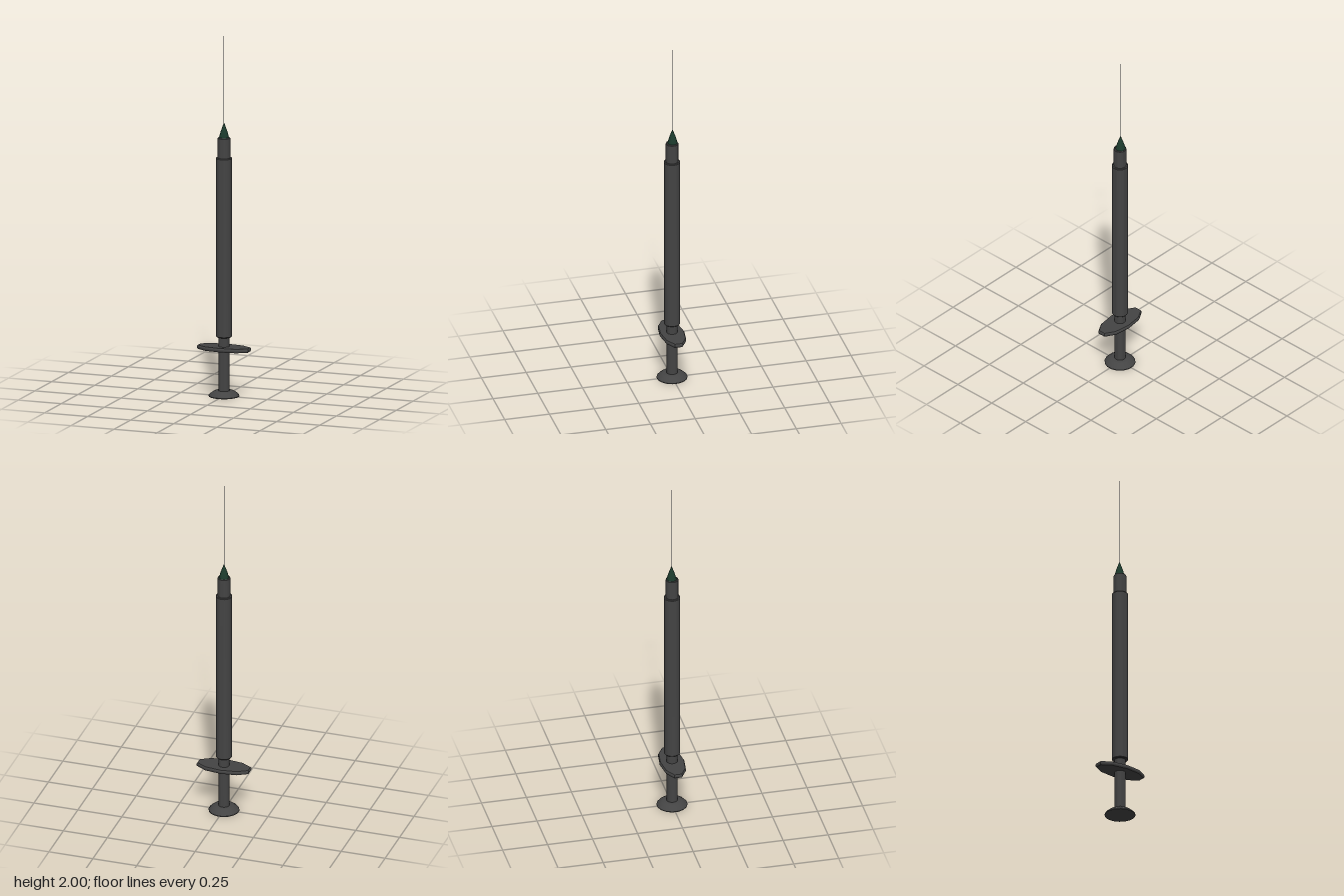
import * as THREE from 'three';
import { toCreasedNormals } from 'three/addons/utils/BufferGeometryUtils.js';

const dark = new THREE.MeshStandardMaterial({ color: 0x444444 });
const green = new THREE.MeshStandardMaterial({ color: 0x1c3a2c });
const steel = new THREE.MeshStandardMaterial({ color: 0x8c929c });

export function createModel() {
  const group = new THREE.Group();

  function add(name, geometry, material, x = 0, z = 0) {
    const mesh = new THREE.Mesh(toCreasedNormals(geometry, 0.6), material);
    mesh.name = name;
    mesh.position.set(x, 0, z);
    group.add(mesh);
  }

  // Turned part from [radius, height] pairs, listed bottom to top
  function turned(points, sides) {
    return new THREE.LatheGeometry(points.map(([r, y]) => new THREE.Vector2(r, y)), sides);
  }

  // Thumb rest: a shallow dome with a flat underside
  add('thumbRest', turned([
    [0, 0], [0.084, 0], [0.084, 0.004], [0.073, 0.016], [0.056, 0.028], [0.045, 0.031], [0, 0.031],
  ], 16).rotateY(Math.PI / 16), dark);

  // Plunger rod running into the barrel
  add('plungerRod', turned([[0, 0.02], [0.03, 0.02], [0.03, 0.34], [0, 0.34]], 24), dark);

  // Finger flange: a flat ten-sided plate with bevelled rim
  const outline = [
    [0.144, -0.02], [0.144, 0.02], [0.09, 0.052], [0, 0.064], [-0.09, 0.052],
    [-0.144, 0.02], [-0.144, -0.02], [-0.09, -0.052], [0, -0.064], [0.09, -0.052],
  ];
  const shape = new THREE.Shape(outline.map(([x, y]) => new THREE.Vector2(x, y)));
  const flange = new THREE.ExtrudeGeometry(shape, {
    depth: 0.01, bevelEnabled: true, bevelSize: 0.004, bevelThickness: 0.006, bevelSegments: 1,
  });
  flange.rotateX(-Math.PI / 2).translate(0, 0.26, 0);
  add('fingerFlange', flange, dark);

  // Barrel with softened ends
  add('barrel', turned([
    [0, 0.328], [0.041, 0.328], [0.044, 0.332], [0.044, 1.316], [0.041, 1.32], [0, 1.32],
  ], 32), dark);

  // Narrow neck above the barrel
  add('neck', turned([
    [0, 1.31], [0.034, 1.31], [0.034, 1.428], [0.031, 1.432], [0, 1.432],
  ], 32), dark);

  // Tapered needle hub
  add('needleHub', turned([
    [0, 1.425], [0.027, 1.425], [0.027, 1.432], [0.018, 1.465], [0.002, 1.51], [0, 1.51],
  ], 24), green, -0.001, -0.003);

  // Hair-thin needle
  add('needle', turned([[0, 1.49], [0.0015, 1.49], [0.0015, 1.99], [0, 2]], 8), steel, -0.001, -0.002);

  return group;
}
